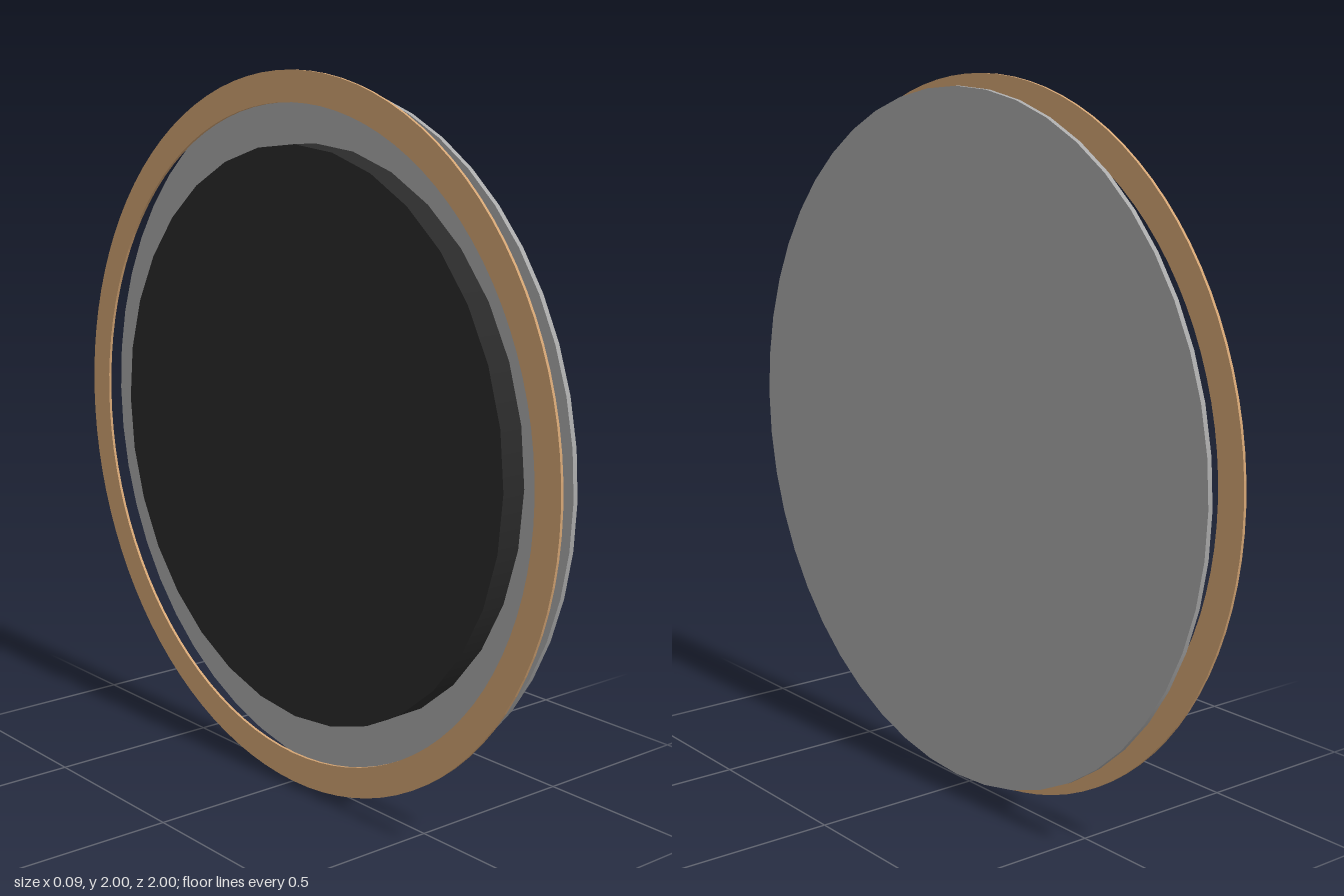
import * as THREE from 'three';

const CENTRE_Y = 1;

function addPart(group, name, geometry, color) {
  const mesh = new THREE.Mesh(geometry, new THREE.MeshStandardMaterial({ color }));
  mesh.name = name;
  mesh.position.y = CENTRE_Y;
  group.add(mesh);
}

// Solid disc whose axis runs along x, from x0 to x1
function disc(radius, x0, x1, segments) {
  return new THREE.CylinderGeometry(radius, radius, x1 - x0, segments)
    .rotateZ(-Math.PI / 2)
    .translate((x0 + x1) / 2, 0, 0);
}

// Flat ring whose axis runs along x, from x0 to x1
function ring(outer, inner, x0, x1, segments) {
  const shape = new THREE.Shape().absarc(0, 0, outer, 0, Math.PI * 2, false);
  shape.holes.push(new THREE.Path().absarc(0, 0, inner, 0, Math.PI * 2, true));
  return new THREE.ExtrudeGeometry(shape, {
    depth: x1 - x0, bevelEnabled: false, curveSegments: segments,
  }).rotateY(Math.PI / 2).translate(x0, 0, 0);
}

export function createModel() {
  const group = new THREE.Group();
  group.name = 'roundPanel';

  // Thin tan trim ring on one side
  addPart(group, 'trimRing', ring(1, 0.915, -0.047, -0.039, 48), 0xd4a574);
  // Dark core between ring and face
  addPart(group, 'core', disc(0.805, -0.04, 0.032, 32), 0x2a2a2a);
  // Large grey face disc on the other side
  addPart(group, 'faceDisc', disc(0.967, 0.032, 0.046, 48), 0xaaaaaa);

  return group;
}
